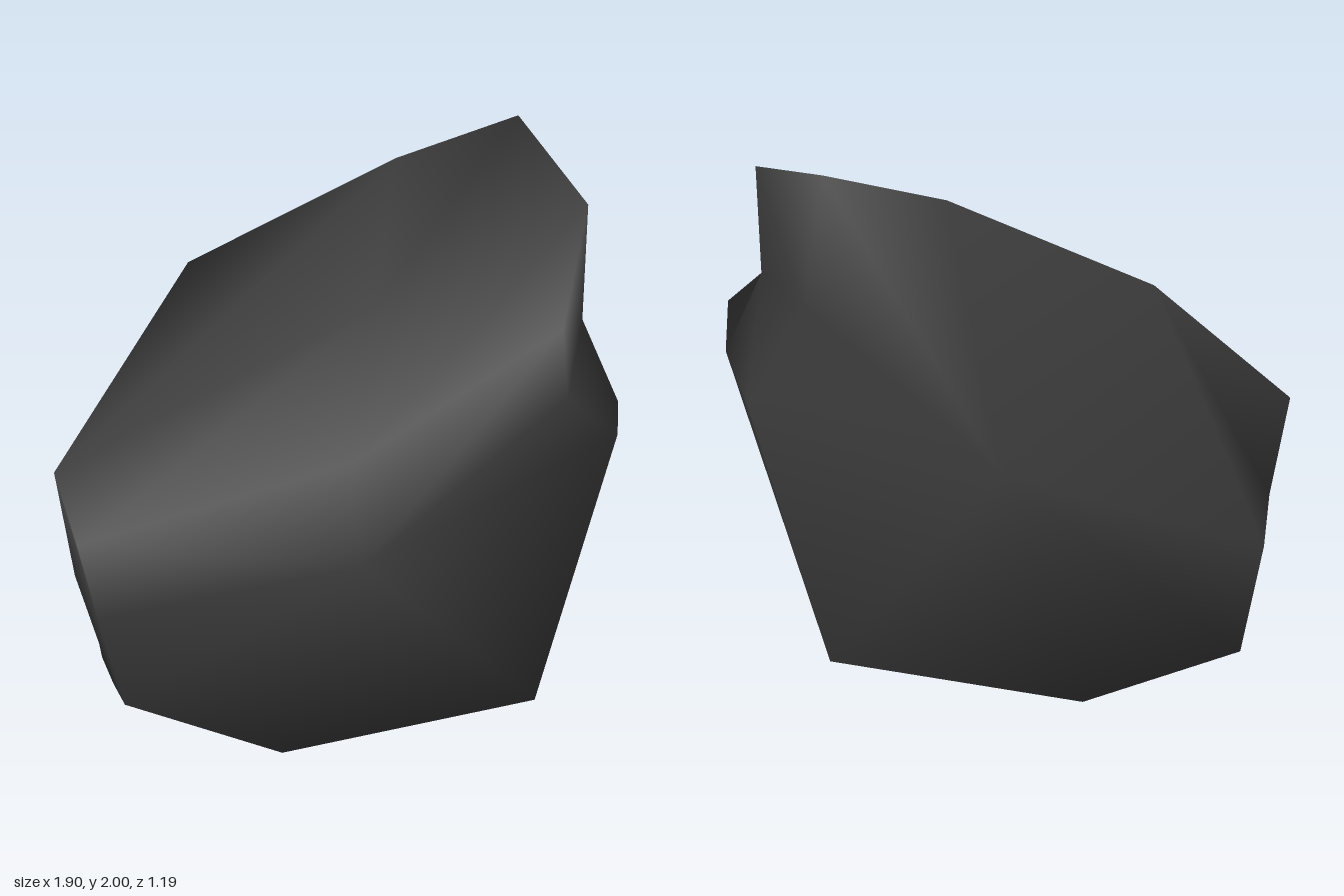
import * as THREE from 'three';

export function createModel() {
  const group = new THREE.Group();
  group.name = 'rock';
  const stone = new THREE.MeshStandardMaterial({ color: 0x3e3e3e });
  stone.name = 'dark stone';

  // Three outlines from back to front, each counterclockwise from the top right peak
  const loops = [
    [[0.66, 2, -0.6], [0.24, 1.87, -0.53], [-0.46, 1.53, -0.5], [-0.83, 0.57, -0.5], [-0.75, 0.19, -0.5],
      [-0.22, 0.02, -0.5], [0.63, 0.19, -0.5], [0.91, 1.14, -0.5], [0.72, 1.5, -0.55]],
    [[0.85, 1.79, 0], [0.12, 1.44, 0], [-0.95, 0.9, 0], [-0.88, 0.55, 0], [-0.75, 0.18, 0],
      [-0.22, 0, 0], [0.63, 0.18, 0], [0.95, 1.12, 0], [0.83, 1.4, 0]],
    [[0.72, 1.46, 0.59], [0.01, 1, 0.52], [-0.91, 0.73, 0.5], [-0.84, 0.48, 0.5], [-0.75, 0.19, 0.51],
      [-0.22, 0.02, 0.51], [0.63, 0.19, 0.51], [0.91, 1.09, 0.51], [0.74, 1.22, 0.55]],
  ];
  const n = loops[0].length;
  const points = loops.flat();
  const backCentre = points.push([0.05, 0.85, -0.505]) - 1;
  const frontCentre = points.push([0.05, 0.65, 0.515]) - 1;

  const index = [];
  for (let i = 0; i < n; i++) {
    const j = (i + 1) % n;
    // Walls between neighbouring outlines
    for (let k = 0; k < loops.length - 1; k++) {
      const a = k * n + i, b = k * n + j, c = b + n, d = a + n;
      index.push(a, b, c, a, c, d);
    }
    // Broad back and front faces
    index.push(backCentre, j, i);
    index.push(frontCentre, 2 * n + i, 2 * n + j);
  }

  const geometry = new THREE.BufferGeometry();
  geometry.setAttribute('position', new THREE.Float32BufferAttribute(points.flat(), 3));
  geometry.setIndex(index);
  geometry.computeVertexNormals();

  const boulder = new THREE.Mesh(geometry, stone);
  boulder.name = 'boulder';
  group.add(boulder);
  return group;
}
